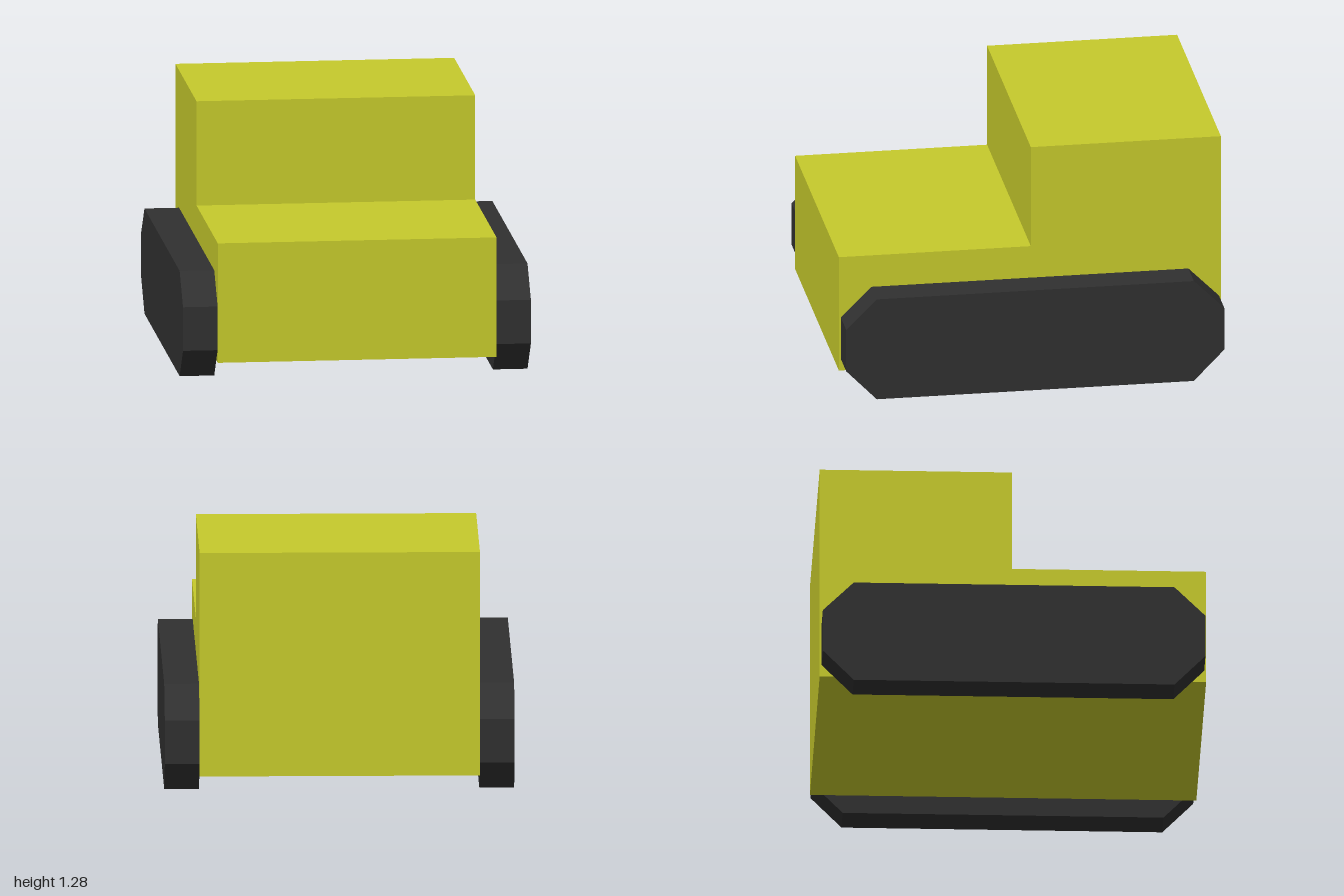
import * as THREE from 'three';

// Extrudes a side profile of [z, y] points across the width, centred on x = 0
function extrudeProfile(points, width) {
  const shape = new THREE.Shape(points.map(([z, y]) => new THREE.Vector2(z, y)));
  const geometry = new THREE.ExtrudeGeometry(shape, { depth: width, bevelEnabled: false });
  geometry.translate(0, 0, -width / 2);
  geometry.rotateY(-Math.PI / 2);
  return geometry;
}

export function createModel() {
  const model = new THREE.Group();
  model.name = 'trackedVehicle';

  const yellow = new THREE.MeshStandardMaterial({ color: 0xc6ca2c, flatShading: true });
  const black = new THREE.MeshStandardMaterial({ color: 0x303030, flatShading: true });

  // Stepped body: low hood in front, tall cab behind
  const bodyProfile = [
    [-1, 0.1], [1, 0.1], [1, 0.73], [-0.005, 0.73], [-0.005, 1.28], [-1, 1.28],
  ];
  const body = new THREE.Mesh(extrudeProfile(bodyProfile, 1.45), yellow);
  body.name = 'body';
  model.add(body);

  // Chamfered tracks, one on each side
  const trackProfile = [
    [-0.83, 0], [0.83, 0], [0.99, 0.165], [0.99, 0.395],
    [0.83, 0.555], [-0.83, 0.555], [-0.99, 0.395], [-0.99, 0.165],
  ];
  const trackGeometry = extrudeProfile(trackProfile, 0.18);
  for (const side of [1, -1]) {
    const track = new THREE.Mesh(trackGeometry, black);
    track.name = side > 0 ? 'leftTrack' : 'rightTrack';
    track.position.x = side * 0.815;
    model.add(track);
  }

  return model;
}
